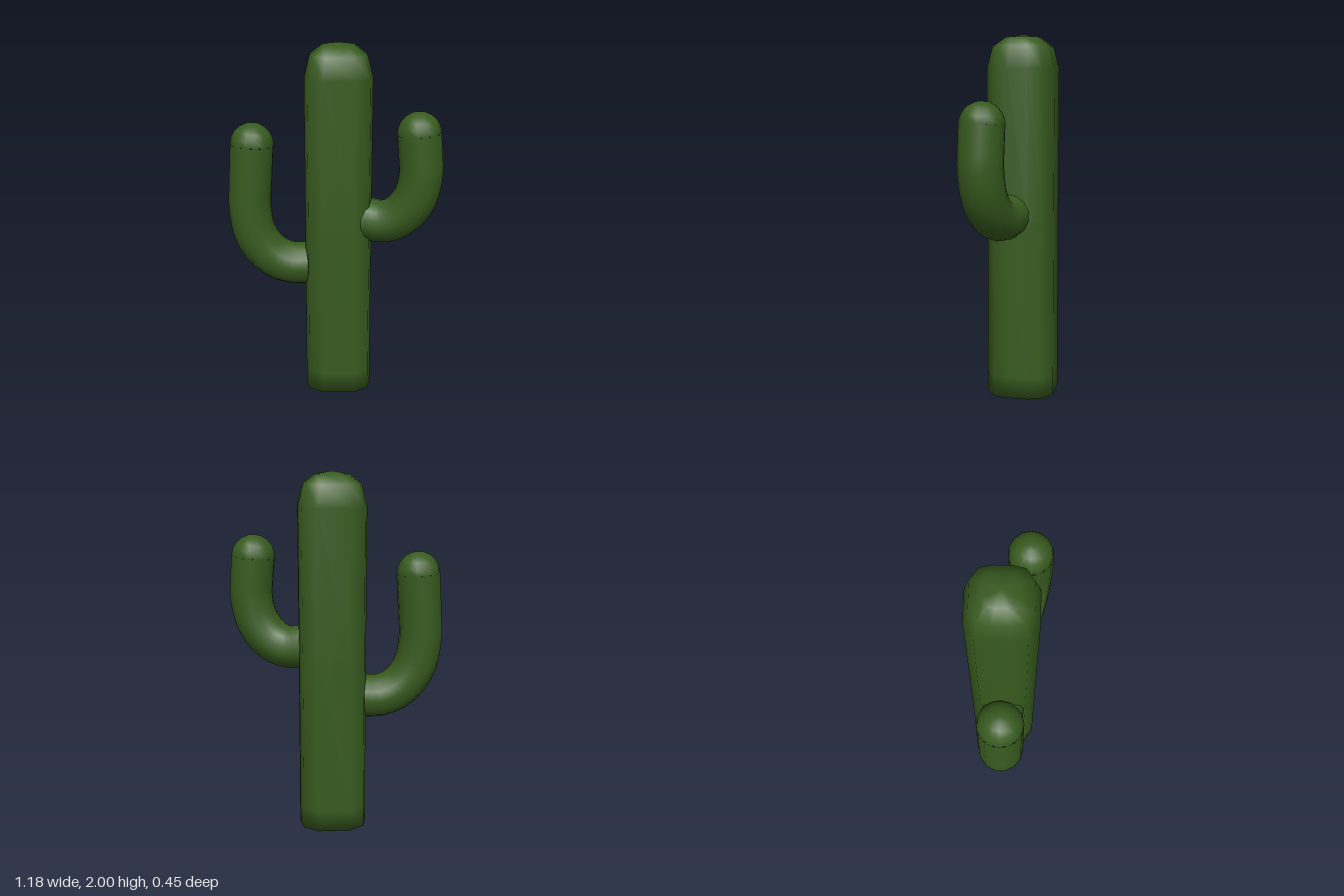
import * as THREE from 'three';
import { mergeVertices } from 'three/addons/utils/BufferGeometryUtils.js';

const skin = new THREE.MeshStandardMaterial({ color: 0x375a1e });
const TRUNK_X = 0.023, TRUNK_Z = -0.037, ARM_R = 0.121;

// Upright trunk: a rounded-square section repeated at [height, scale] rings
function trunkGeometry() {
  const corner = [[0.187, 0.055], [0.17, 0.133], [0.09, 0.187]];
  const section = [];
  for (let q = 0; q < 4; q++) {
    // alternate quadrants are mirrored so the section stays symmetric
    const pts = q % 2 ? [...corner].reverse() : corner;
    const sx = q === 0 || q === 3 ? 1 : -1, sz = q < 2 ? 1 : -1;
    for (const [x, z] of pts) section.push([sx * x, sz * z]);
  }
  const rings = [[0, 0], [0, 1.005], [0.12, 1], [1.0, 0.99], [1.82, 0.99],
    [1.935, 0.83], [1.985, 0.48], [2, 0]];
  const n = section.length, pos = [], idx = [];
  rings.forEach(([y, s], j) => {
    section.forEach(([x, z], i) => {
      pos.push(x * s, y, z * s);
      if (j === rings.length - 1) return;
      const a = j * n + i, b = j * n + (i + 1) % n;
      if (rings[j + 1][1] > 0) idx.push(a, a + n, b + n);
      if (s > 0) idx.push(a, b + n, b);
    });
  });
  const g = new THREE.BufferGeometry();
  g.setAttribute('position', new THREE.Float32BufferAttribute(pos, 3));
  g.setIndex(idx);
  const merged = mergeVertices(g);
  merged.computeVertexNormals();
  return merged;
}

// Bent arm: a tube along a curve with a domed tip
function makeArm(name, points) {
  const arm = new THREE.Group();
  arm.name = name;
  const path = new THREE.CatmullRomCurve3(points.map(p => new THREE.Vector3(...p)));
  const stem = new THREE.Mesh(new THREE.TubeGeometry(path, 20, ARM_R, 14, false), skin);
  stem.name = name + 'Stem';
  const tip = new THREE.Mesh(
    new THREE.SphereGeometry(ARM_R, 14, 5, 0, Math.PI * 2, 0, Math.PI / 2), skin);
  tip.name = name + 'Tip';
  tip.position.copy(path.getPoint(1));
  tip.quaternion.setFromUnitVectors(new THREE.Vector3(0, 1, 0), path.getTangent(1));
  arm.add(stem, tip);
  return arm;
}

export function createModel() {
  const model = new THREE.Group();
  model.name = 'cactus';

  const trunk = new THREE.Mesh(trunkGeometry(), skin);
  trunk.name = 'trunk';
  trunk.position.set(TRUNK_X, 0, TRUNK_Z);
  model.add(trunk);

  // Right arm runs straight out to the side, then up
  model.add(makeArm('rightArm', [[-0.04, 0.76], [-0.15, 0.748], [-0.25, 0.748], [-0.36, 0.8],
    [-0.44, 0.91], [-0.473, 1.07], [-0.466, 1.25], [-0.454, 1.446]].map(([x, y]) => [x, y, TRUNK_Z])));

  // Left arm sits higher and swings toward the front
  model.add(makeArm('leftArm', [[0.1, 1.04], [0.18, 1.03], [0.27, 1.022], [0.36, 1.06],
    [0.435, 1.16], [0.468, 1.3], [0.463, 1.42], [0.454, 1.53]].map(([x, y]) => [x, y, 0.1 + (x - 0.46) * 0.3])));

  return model;
}
